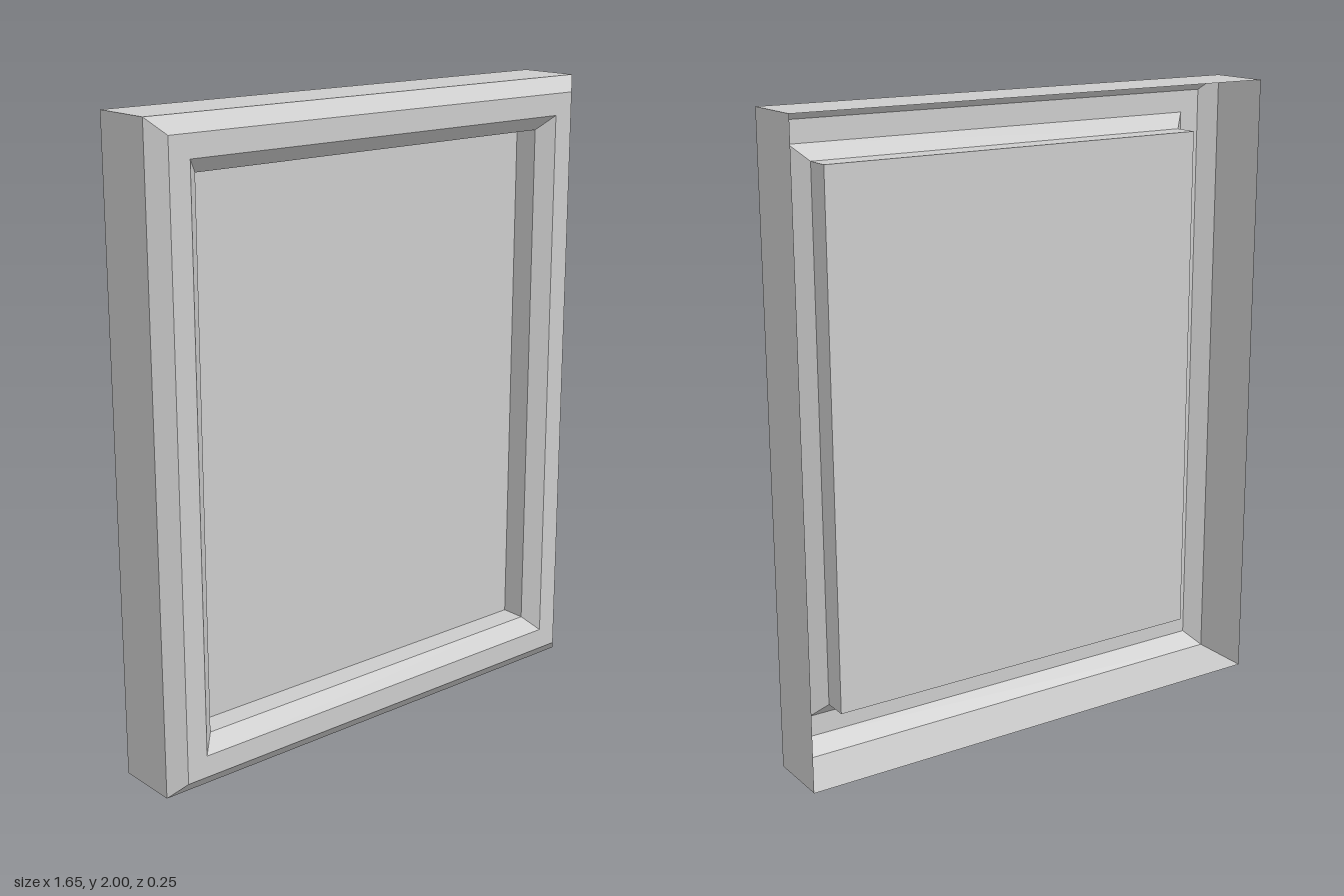
import * as THREE from 'three';

const W = 1.646, H = 2;

// Corners of a rectangle inset from the outer outline, anticlockwise from the front
function ring([inset, z]) {
  const x = W / 2 - inset, y0 = inset, y1 = H - inset;
  return [[-x, y0, z], [x, y0, z], [x, y1, z], [-x, y1, z]];
}

// Four mitred quads joining two rectangular rings
function band(from, to) {
  const a = ring(from), b = ring(to), positions = [];
  for (let i = 0; i < 4; i++) {
    const j = (i + 1) % 4;
    for (const p of [a[i], a[j], b[j], a[i], b[j], b[i]]) positions.push(...p);
  }
  const geometry = new THREE.BufferGeometry();
  geometry.setAttribute('position', new THREE.Float32BufferAttribute(positions, 3));
  geometry.computeVertexNormals();
  return geometry;
}

export function createModel() {
  const group = new THREE.Group();
  group.name = 'pictureFrame';
  const material = new THREE.MeshStandardMaterial({
    color: 0xcccccc, flatShading: true, side: THREE.DoubleSide,
  });

  // Moulding profile as [inset, z], from the open back edge round to the panel
  const profile = [[0, -0.125], [0, 0.08], [0.048, 0.125], [0.117, 0.125], [0.163, 0.08], [0.163, 0]];
  const names = ['outerWall', 'outerBevel', 'frontFace', 'innerBevel', 'innerWall'];
  names.forEach((name, i) => {
    const mesh = new THREE.Mesh(band(profile[i], profile[i + 1]), material);
    mesh.name = name;
    group.add(mesh);
  });

  // Recessed flat panel
  const [inset, z] = profile[profile.length - 1];
  const panel = new THREE.Mesh(new THREE.PlaneGeometry(W - 2 * inset, H - 2 * inset), material);
  panel.name = 'picturePanel';
  panel.position.set(0, H / 2, z);
  group.add(panel);

  return group;
}
